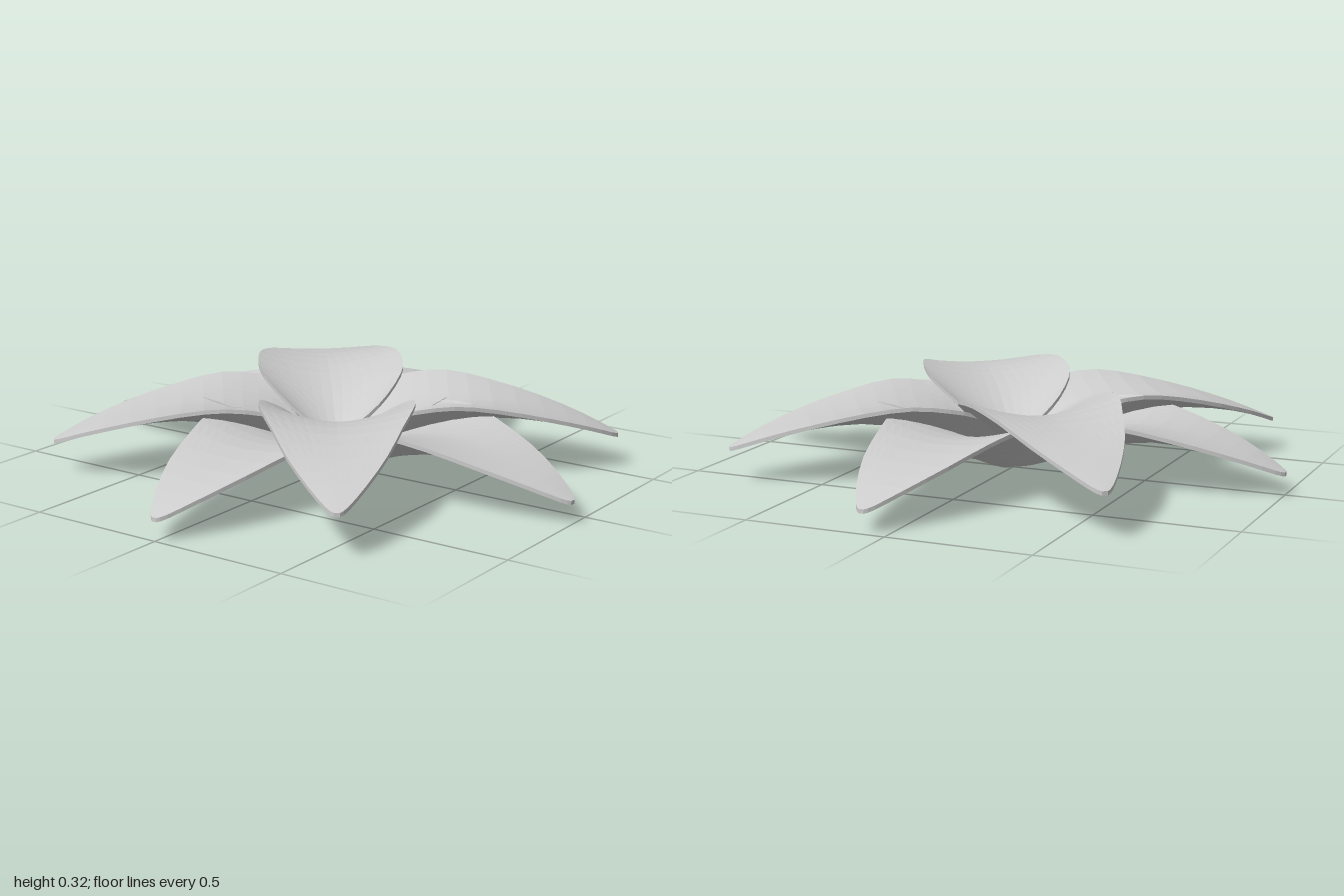
import * as THREE from 'three';

// Petal stations: distance from centre, half width, rim height, midrib underside height
const STATIONS = [
  [0.0, 0.02, 0.035, 0.0], [0.04, 0.12, 0.1, 0.006], [0.085, 0.19, 0.158, 0.017],
  [0.18, 0.248, 0.21, 0.05], [0.27, 0.265, 0.233, 0.085], [0.4, 0.256, 0.245, 0.12],
  [0.55, 0.215, 0.222, 0.143], [0.73, 0.16, 0.177, 0.135], [0.88, 0.092, 0.128, 0.108],
  [0.975, 0.035, 0.09, 0.076], [1.0, 0.01, 0.08, 0.066],
];
const MAX_HALF = 0.265;
const RIM_THICKNESS = 0.014;
const LENGTH_STEPS = 20;
const WIDTH_STEPS = 14;

// Cupped petal along +x: a closed shell, fleshy along the midrib and thin at the rim
function petalGeometry() {
  const spline = (f) => new THREE.CatmullRomCurve3(STATIONS.map(f), false, 'catmullrom', 0.5);
  const rim = spline(([u, half, rimY]) => new THREE.Vector3(u, rimY, half));
  const rib = spline(([u, , , ribY]) => new THREE.Vector3(u, ribY, 0));
  const positions = [];
  const index = [];
  const ring = 2 * (WIDTH_STEPS + 1);

  for (let i = 0; i <= LENGTH_STEPS; i++) {
    const e = rim.getPoint(i / LENGTH_STEPS);
    const r = rib.getPoint(i / LENGTH_STEPS);
    const ribTop = r.y + RIM_THICKNESS + 0.061 * (e.z / MAX_HALF) ** 2;
    const rimBottom = e.y - RIM_THICKNESS;
    for (let k = 0; k < ring; k++) {
      const top = k <= WIDTH_STEPS;
      const j = top ? k : ring - 1 - k;
      const s = (2 * j) / WIDTH_STEPS - 1;
      const y = top
        ? THREE.MathUtils.lerp(ribTop, e.y, Math.abs(s) ** 1.7)
        : THREE.MathUtils.lerp(r.y, rimBottom, Math.abs(s) ** 1.55);
      positions.push(e.x, y, e.z * s);
    }
  }

  for (let i = 0; i < LENGTH_STEPS; i++) {
    for (let k = 0; k < ring; k++) {
      const a = i * ring + k;
      const b = i * ring + ((k + 1) % ring);
      index.push(a, b, a + ring, b, b + ring, a + ring);
    }
  }

  // Close both ends
  const last = LENGTH_STEPS * ring;
  for (let j = 0; j < WIDTH_STEPS; j++) {
    const p = j, q = j + 1, pb = ring - 1 - j, qb = ring - 2 - j;
    index.push(p, qb, q, p, pb, qb);
    index.push(last + p, last + q, last + qb, last + p, last + qb, last + pb);
  }

  const geometry = new THREE.BufferGeometry();
  geometry.setAttribute('position', new THREE.Float32BufferAttribute(positions, 3));
  geometry.setIndex(index);
  geometry.computeVertexNormals();
  return geometry;
}

export function createModel() {
  const flower = new THREE.Group();
  flower.name = 'flower';
  const geometry = petalGeometry();
  const material = new THREE.MeshStandardMaterial({ color: 0xcccccc, flatShading: true });

  // Four lower petals, then two opposite pairs stacked above them
  const tiers = [
    { name: 'lowerPetal', angles: [4.7, 94.7, 180, 270], lift: 0 },
    { name: 'middlePetal', angles: [54.7, 230], lift: 0.042 },
    { name: 'upperPetal', angles: [144.7, 320], lift: 0.078 },
  ];
  for (const { name, angles, lift } of tiers) {
    const tier = new THREE.Group();
    tier.name = name + 's';
    angles.forEach((angle, i) => {
      const petal = new THREE.Mesh(geometry, material);
      petal.name = name + (i + 1);
      petal.rotation.y = -THREE.MathUtils.degToRad(angle);
      petal.position.y = lift;
      tier.add(petal);
    });
    flower.add(tier);
  }
  return flower;
}
